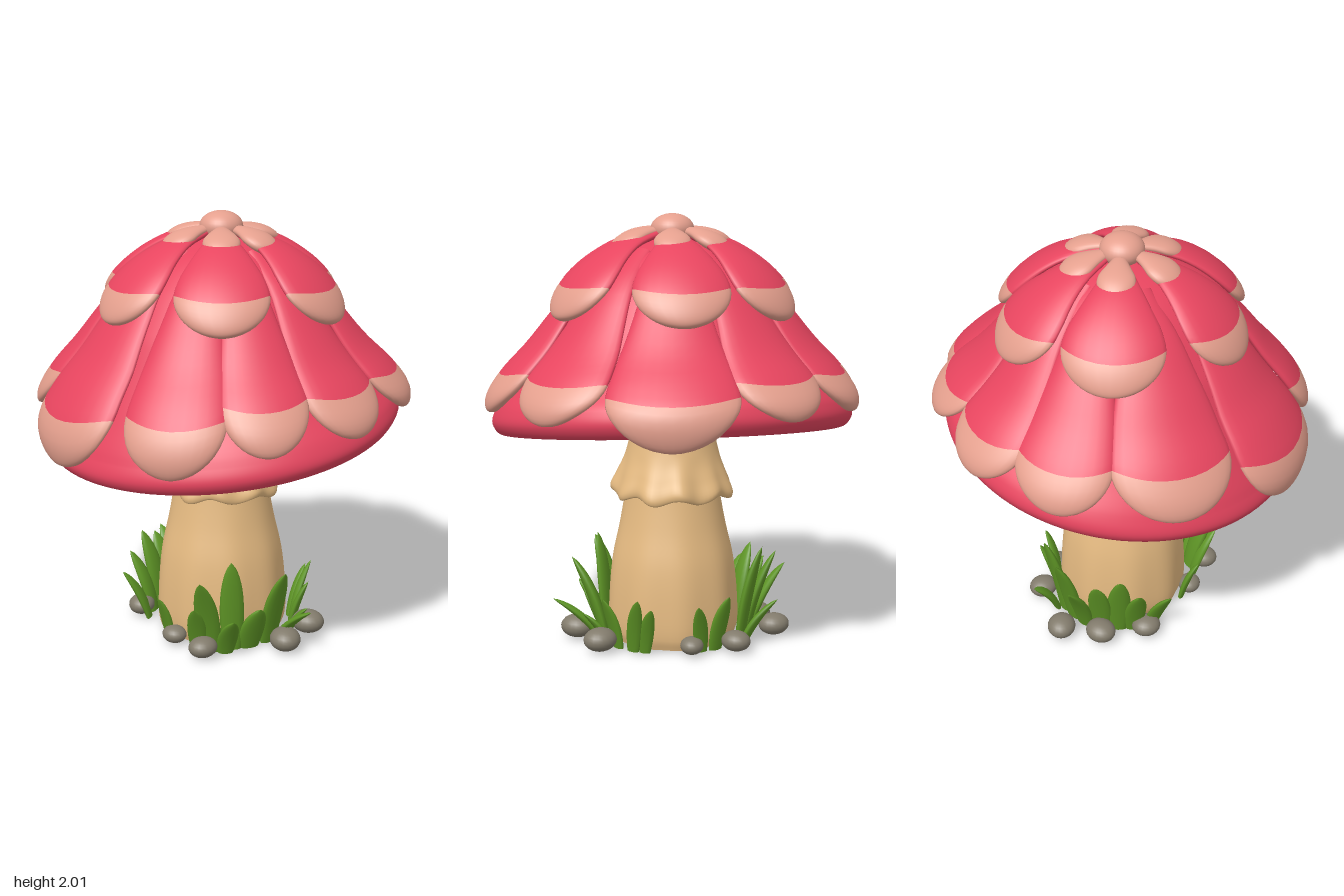
import * as THREE from 'three';
import { mergeVertices } from 'three/addons/utils/BufferGeometryUtils.js';

const mat = (name, color, side = THREE.FrontSide) => {
  const m = new THREE.MeshStandardMaterial({ color, side });
  m.name = name;
  return m;
};

// Smooth normals over a deformed geometry, with seams welded
function smooth(geo, rule) {
  geo.deleteAttribute('uv');
  geo.deleteAttribute('normal');
  const g = mergeVertices(geo, 1e-5);
  const p = g.attributes.position;
  const v = new THREE.Vector3();
  for (let i = 0; i < p.count; i++) {
    v.fromBufferAttribute(p, i);
    rule(v, Math.atan2(v.z, v.x));
    p.setXYZ(i, v.x, v.y, v.z);
  }
  g.computeVertexNormals();
  return g;
}

const curve = (pts) => new THREE.CatmullRomCurve3(pts.map(([r, y]) => new THREE.Vector3(r, y, 0)));
const lathe = (pts, n, seg, rule) => smooth(
  new THREE.LatheGeometry(curve(pts).getPoints(n).map((p) => new THREE.Vector2(Math.max(p.x, 0), p.y)), seg), rule);

// Closed skin from ring cross-sections; rows from split onward use the second material
function skin(rows, ring, split, at) {
  const pos = [], idx = [];
  for (let i = 0; i <= rows; i++) {
    for (let j = 0; j < ring; j++) pos.push(...at(i / rows, (j / ring) * Math.PI * 2).toArray());
  }
  for (let i = 0; i < rows; i++) {
    for (let j = 0; j < ring; j++) {
      const a = i * ring + j, b = i * ring + ((j + 1) % ring);
      idx.push(a, a + ring, b, a + ring, b + ring, b);
    }
  }
  const g = new THREE.BufferGeometry();
  g.setAttribute('position', new THREE.Float32BufferAttribute(pos, 3));
  g.setIndex(idx);
  g.addGroup(0, split * ring * 6, 0);
  g.addGroup(split * ring * 6, (rows - split) * ring * 6, 1);
  g.computeVertexNormals();
  return g;
}

// Rounded scale that lies along a cap profile
function petal(path, deg, halfDeg, o) {
  const len = o.length ?? 1;
  return skin(24, 28, o.split, (t, a) => {
    const s = 1 - (1 - t) ** 2;
    const k = Math.max(0, (s - 1 + o.round) / o.round);
    const end = Math.sqrt(Math.max(0, 1 - k ** 2.5));
    const c = Math.cos(a), h = Math.sin(a);
    const u = Math.min(1, Math.max(0, (s - o.bend * c * c * s * end * end) * len));
    const p = path.getPointAt(u), d = path.getTangentAt(u);
    const lift = o.thick * (0.4 + 0.6 * s) * Math.pow(end, 0.7) * h;
    const r = p.x - d.y * lift;
    const y = p.y + d.x * lift;
    const grow = 0.75 + 0.25 * Math.min(1, s * 1.6);
    const th = THREE.MathUtils.degToRad(deg + halfDeg * grow * end * c);
    const x = r * Math.cos(th);
    const low = THREE.MathUtils.clamp((1.5 - y) / 0.35, 0, 1);
    return new THREE.Vector3(x, y + o.tilt * x * low, r * Math.sin(th));
  });
}

// Curved, fleshy grass blade from ground to pointed tip
function blade([bx, bz, tx, ty, tz, w]) {
  const base = new THREE.Vector3(bx, 0, bz), tip = new THREE.Vector3(tx, ty, tz);
  const mid = new THREE.Vector3(bx + (tx - bx) * 0.3, ty * 0.6, bz + (tz - bz) * 0.3);
  const path = new THREE.QuadraticBezierCurve3(base, mid, tip);
  const side = new THREE.Vector3(-bz, 0, bx).normalize();
  return skin(14, 12, 14, (t, a) => {
    const width = w * (0.8 + 1.8 * t) * Math.pow(1 - t, 0.75);
    const depth = new THREE.Vector3().crossVectors(side, path.getTangent(t)).normalize();
    return path.getPoint(t).addScaledVector(side, width * Math.cos(a)).addScaledVector(depth, width * 0.42 * Math.sin(a));
  });
}

export function createModel() {
  const red = mat('cap red', 0xe8455f);
  const pink = mat('petal pink', 0xe5a08e);
  const tan = mat('stem tan', 0xe6bb82);
  const gill = mat('gill tan', 0xcaac70, THREE.DoubleSide);
  const green = mat('grass green', 0x5f9626);
  const grey = mat('stone grey', 0x827b6c);
  const model = new THREE.Group();
  const add = (name, geo, material, parent = model) => {
    const m = new THREE.Mesh(geo, material);
    m.name = name;
    parent.add(m);
    return m;
  };
  const group = (name) => {
    const g = new THREE.Group();
    g.name = name;
    model.add(g);
    return g;
  };

  // Stem with faint lobes near the ground, and a flat base
  add('stem', lathe([[0.29, 0], [0.305, 0.05], [0.305, 0.2], [0.287, 0.38], [0.25, 0.55], [0.224, 0.7],
    [0.2, 0.9], [0.18, 1.08], [0.185, 1.24]], 40, 64, (v, a) => {
    const k = 1 + 0.02 * Math.cos(9 * a) * Math.max(0, 1 - v.y / 0.7);
    v.x *= k; v.z *= k;
  }), tan);
  const base = add('stemBase', new THREE.CircleGeometry(0.293, 64), tan);
  base.rotation.x = Math.PI / 2;

  // Wavy skirt around the stem
  add('skirt', lathe([[0.2, 0.76], [0.24, 0.71], [0.272, 0.695], [0.28, 0.72], [0.255, 0.79], [0.225, 0.87],
    [0.2, 0.97], [0.182, 1.08]], 36, 96, (v, a) => {
    const f = THREE.MathUtils.clamp((0.9 - v.y) / 0.18, 0, 1);
    const k = 1 + f * (0.035 * Math.cos(11 * a) + 0.02 * Math.sin(5 * a));
    v.x *= k; v.z *= k;
    v.y += f * 0.014 * Math.sin(8 * a + 1);
  }), tan);

  // Cap: the rim tilts down toward -x while the crown stays level
  const tiltCap = (v) => {
    const f = THREE.MathUtils.clamp((1.5 - v.y) / 0.38, 0, 1);
    v.y += 0.14 * v.x * f;
    v.x *= 1 - 0.035 * f;
  };
  add('cap', lathe([[0.73, 1.03], [0.77, 0.995], [0.81, 1.0], [0.84, 1.05], [0.82, 1.12], [0.74, 1.23],
    [0.63, 1.38], [0.52, 1.55], [0.4, 1.71], [0.25, 1.83], [0, 1.9]], 70, 96, tiltCap), red);

  // Swirling gills under the cap
  add('gills', lathe([[0.16, 1.19], [0.3, 1.185], [0.5, 1.14], [0.66, 1.07], [0.75, 1.02]], 24, 360, (v, a) => {
    const r = Math.hypot(v.x, v.z);
    tiltCap(v);
    v.y += 0.007 * Math.sin(60 * (a + 0.35 * r)) * Math.sin(Math.PI * THREE.MathUtils.clamp((r - 0.14) / 0.62, 0, 1));
  }), gill);

  // Lower row of petals: angle, half angle, length
  const lowerPath = curve([[0.22, 1.84], [0.41, 1.7], [0.53, 1.55], [0.645, 1.4], [0.765, 1.265], [0.845, 1.14], [0.845, 0.99]]);
  const lower = group('lowerPetals');
  [[10, 21.5, 0.985], [50, 18.5, 0.9], [86, 16.5, 0.89], [116, 15.5, 0.89], [145, 17, 0.96], [187, 21.5, 0.995],
    [231, 21.5, 0.895], [268, 17.5, 0.895], [298, 17, 0.895], [332, 18, 0.89]].forEach(([deg, half, length]) =>
    add('lowerPetal', petal(lowerPath, deg, half,
      { split: 14, round: 0.22, bend: 0.07, thick: 0.05, tilt: 0.06, length }), [red, pink], lower));

  // Upper row of petals
  const upperPath = curve([[0.08, 1.91], [0.25, 1.865], [0.4, 1.775], [0.51, 1.665], [0.585, 1.545]]);
  const upper = group('upperPetals');
  [[5, 27], [70, 26], [130, 26], [188, 25], [253, 28], [310, 26]].forEach(([deg, half]) =>
    add('upperPetal', petal(upperPath, deg, half,
      { split: 13, round: 0.3, bend: 0.09, thick: 0.048, tilt: 0 }), [red, pink], upper));

  // Small crown flower on top
  const crownPath = curve([[0.05, 1.925], [0.15, 1.91], [0.22, 1.885], [0.29, 1.84]]);
  const crown = group('crown');
  [10, 78, 130, 191, 255, 315].forEach((deg) =>
    add('crownPetal', petal(crownPath, deg, 24,
      { split: 24, round: 0.5, bend: 0.08, thick: 0.042, tilt: 0 }), [pink, pink], crown));
  const dome = add('crownDome', new THREE.SphereGeometry(0.1, 32, 20), pink, crown);
  dome.position.y = 1.93;
  dome.scale.y = 0.7;

  // Grass: base x, z, then tip x, y, z and half width
  const grass = group('grass');
  [[-0.27, 0.24, -0.4, 0.39, 0.32, 0.055], [-0.18, 0.29, -0.22, 0.45, 0.33, 0.055], [-0.31, 0.2, -0.4, 0.25, 0.28, 0.045],
    [-0.1, 0.32, -0.12, 0.22, 0.42, 0.06], [0.01, 0.33, -0.02, 0.39, 0.48, 0.06], [0.04, 0.36, 0.05, 0.21, 0.58, 0.042],
    [-0.23, 0.3, -0.28, 0.2, 0.42, 0.045], [0.14, 0.33, 0.15, 0.16, 0.45, 0.035],
    [0.19, 0.29, 0.23, 0.25, 0.37, 0.04], [0.25, 0.23, 0.38, 0.28, 0.23, 0.04], [0.28, 0.18, 0.4, 0.24, 0.17, 0.035],
    [0.31, -0.08, 0.4, 0.24, -0.05, 0.037], [0.29, -0.15, 0.36, 0.27, -0.2, 0.045], [0.19, -0.29, 0.25, 0.47, -0.38, 0.053],
    [0.12, -0.33, 0.15, 0.42, -0.47, 0.055], [0.05, -0.36, 0.05, 0.33, -0.54, 0.05], [0.23, -0.3, 0.28, 0.22, -0.45, 0.042],
    [-0.03, -0.35, -0.05, 0.34, -0.46, 0.055], [-0.11, -0.33, -0.16, 0.38, -0.42, 0.055], [-0.18, -0.3, -0.25, 0.3, -0.4, 0.05],
    [-0.25, -0.25, -0.37, 0.25, -0.3, 0.042], [-0.32, 0.0, -0.4, 0.22, 0.02, 0.037]]
    .forEach((b) => add('grassBlade', blade(b), [green, green], grass));

  // Stones: x, z, radius
  const stones = group('stones');
  [[-0.34, 0.27, 0.07], [0, 0.46, 0.08], [0.22, 0.38, 0.08], [0.34, -0.03, 0.06], [0.33, -0.24, 0.07],
    [0.13, -0.47, 0.075], [-0.06, -0.43, 0.075], [-0.25, -0.31, 0.07], [-0.34, 0.06, 0.06]].forEach(([x, z, r], i) => {
    const s = add('stone', new THREE.SphereGeometry(r, 20, 14), grey, stones);
    s.position.set(x, r * 0.68, z);
    s.scale.set(1, 0.68, 0.9);
    s.rotation.y = i;
  });
  return model;
}
